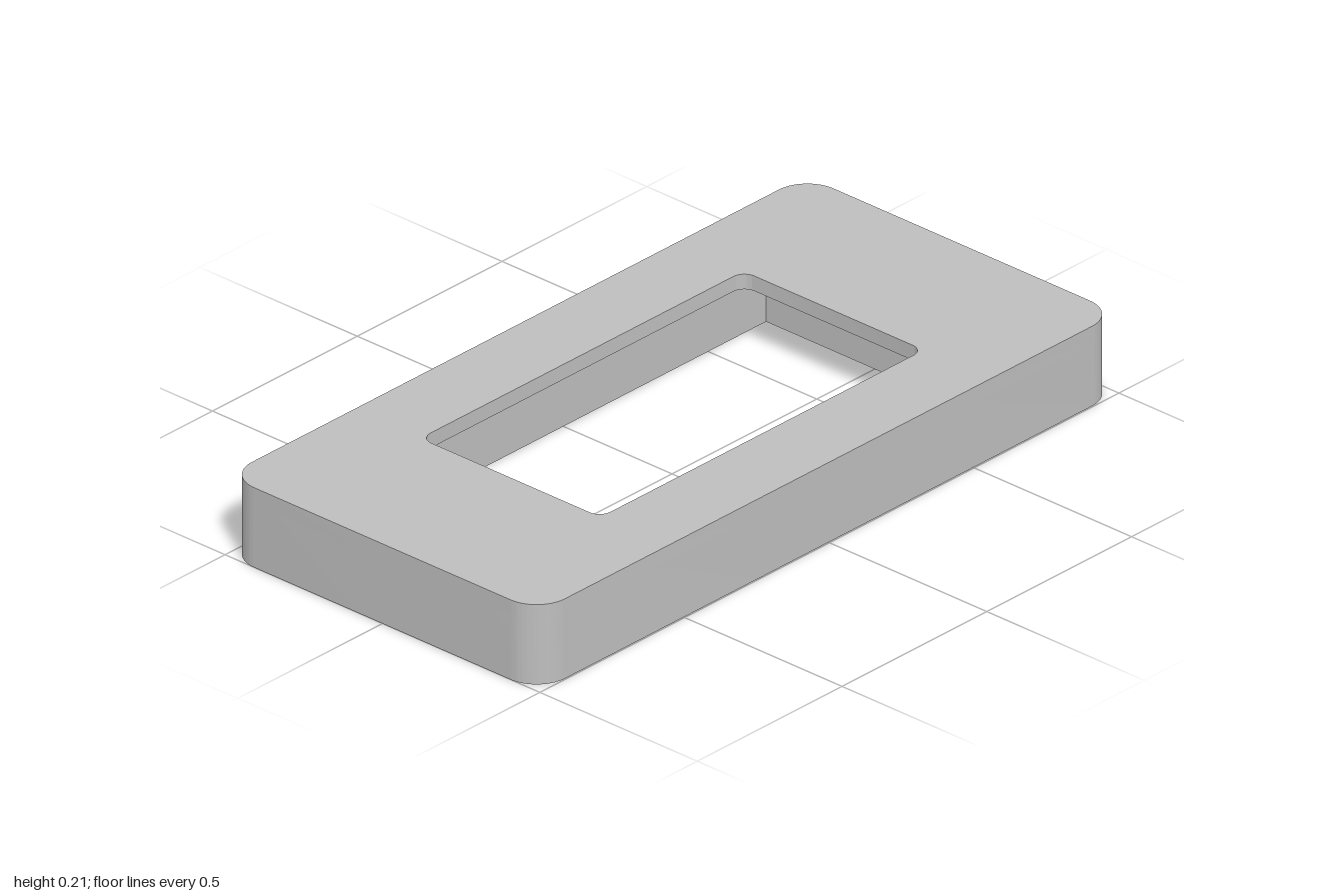
import * as THREE from 'three';
import { toCreasedNormals } from 'three/addons/utils/BufferGeometryUtils.js';

const HEIGHT = 0.212, POCKET_DEPTH = 0.172;

// Traces a centred rectangle with rounded corners
function roundedRect(path, hx, hz, r) {
  path.moveTo(hx, -hz + r);
  path.absarc(hx - r, hz - r, r, 0, Math.PI / 2);
  path.absarc(-hx + r, hz - r, r, Math.PI / 2, Math.PI);
  path.absarc(-hx + r, -hz + r, r, Math.PI, Math.PI * 1.5);
  path.absarc(hx - r, -hz + r, r, Math.PI * 1.5, Math.PI * 2);
  return path;
}

// Extrudes the outer outline with one opening into a horizontal slab
function slab(name, hole, y0, y1, material) {
  const shape = roundedRect(new THREE.Shape(), 1, 0.497, 0.09);
  shape.holes.push(hole);
  const geometry = new THREE.ExtrudeGeometry(shape, {
    depth: y1 - y0, bevelEnabled: false, curveSegments: 12,
  });
  geometry.rotateX(-Math.PI / 2).translate(0, y0, 0);
  const mesh = new THREE.Mesh(toCreasedNormals(geometry, 0.5), material);
  mesh.name = name;
  return mesh;
}

export function createModel() {
  const group = new THREE.Group();
  group.name = 'displayBezel';
  const grey = new THREE.MeshStandardMaterial({ color: 0xbebebe });
  grey.name = 'plainGrey';

  // Underside pocket, with a narrower step at the -x end
  const pocket = new THREE.Path([
    [0.7, -0.345], [0.7, 0.345], [-0.7, 0.345], [-0.7, 0.28],
    [-0.76, 0.28], [-0.76, -0.28], [-0.7, -0.28], [-0.7, -0.345],
  ].map(([x, y]) => new THREE.Vector2(x, y)));
  pocket.closePath();
  group.add(slab('frameWall', pocket, 0, POCKET_DEPTH, grey));

  // Face plate with the smaller rounded window
  const window = roundedRect(new THREE.Path(), 0.558, 0.286, 0.035);
  group.add(slab('facePlate', window, POCKET_DEPTH, HEIGHT, grey));

  return group;
}
